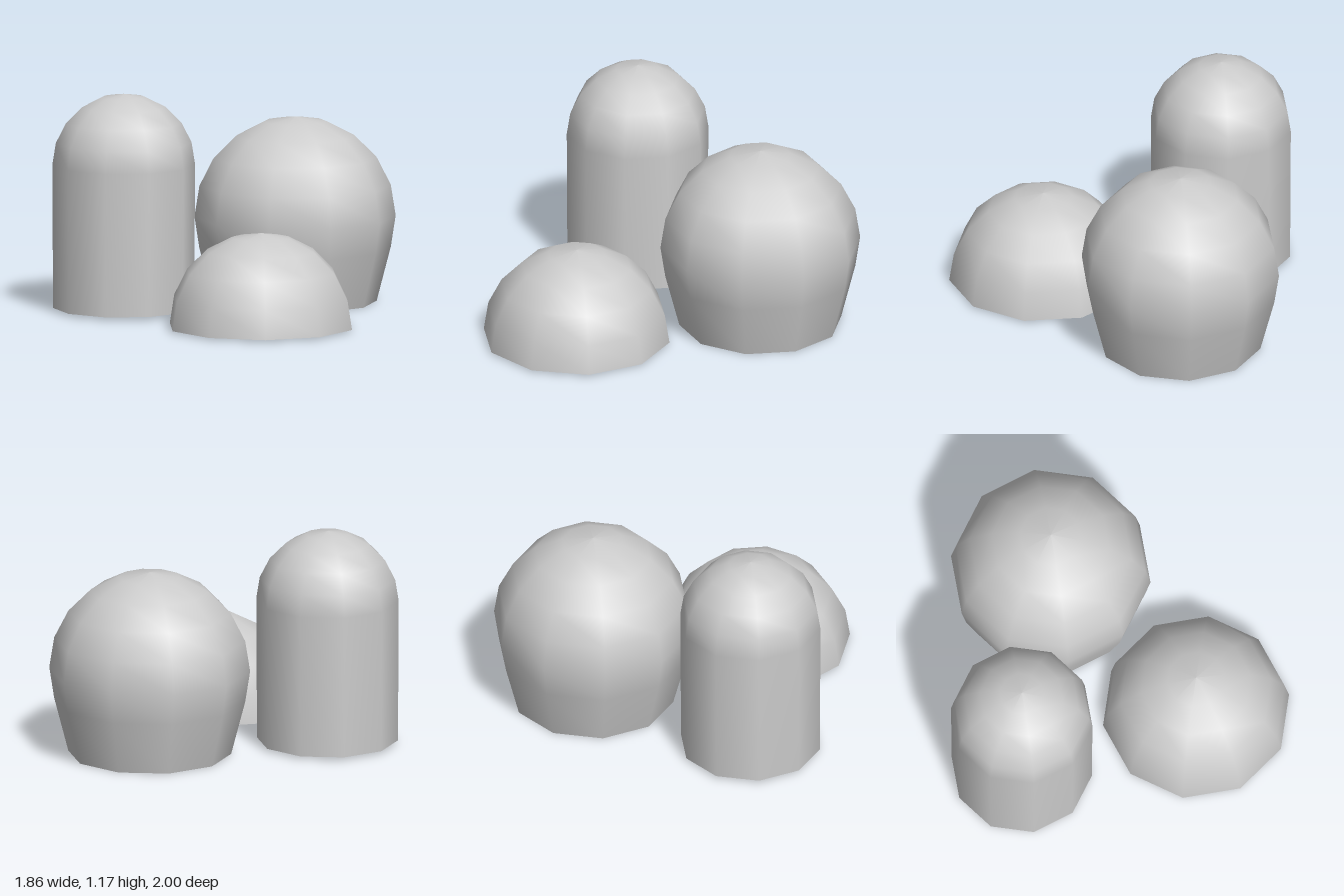
import * as THREE from 'three';

const SIDES = 10;
const RINGS = 5;

const material = new THREE.MeshStandardMaterial({ color: 0xcccccc, side: THREE.DoubleSide });

// Open-bottomed dome: a list of [radius, y] skirt points, then a hemisphere cap
function dome({ name, x, z, radius, centerY, skirt = [], turn = 0 }) {
  const profile = skirt.map(([r, y]) => new THREE.Vector2(r, y));
  for (let i = 0; i <= RINGS; i++) {
    const a = (i / RINGS) * Math.PI / 2;
    const r = i === RINGS ? 0 : radius * Math.cos(a);
    profile.push(new THREE.Vector2(r, centerY + radius * Math.sin(a)));
  }
  const mesh = new THREE.Mesh(new THREE.LatheGeometry(profile, SIDES), material);
  mesh.name = name;
  mesh.position.set(x, 0, z);
  mesh.rotation.y = turn;
  return mesh;
}

export function createModel() {
  const group = new THREE.Group();
  group.name = 'domeCluster';

  // Tall column with a rounded top
  group.add(dome({
    name: 'tallDome', x: -0.548, z: -0.203, radius: 0.383, centerY: 0.79,
    skirt: [[0.379, 0.015]], turn: Math.PI / 2,
  }));

  // Large bulb that tapers in towards its base
  group.add(dome({
    name: 'bulbDome', x: 0.386, z: -0.486, radius: 0.54, centerY: 0.462,
    skirt: [[0.438, 0], [0.514, 0.293]], turn: Math.PI / 2,
  }));

  // Low hemisphere in front, with a corner facing forward
  group.add(dome({ name: 'lowDome', x: 0.154, z: 0.494, radius: 0.506, centerY: 0.01 }));

  return group;
}
